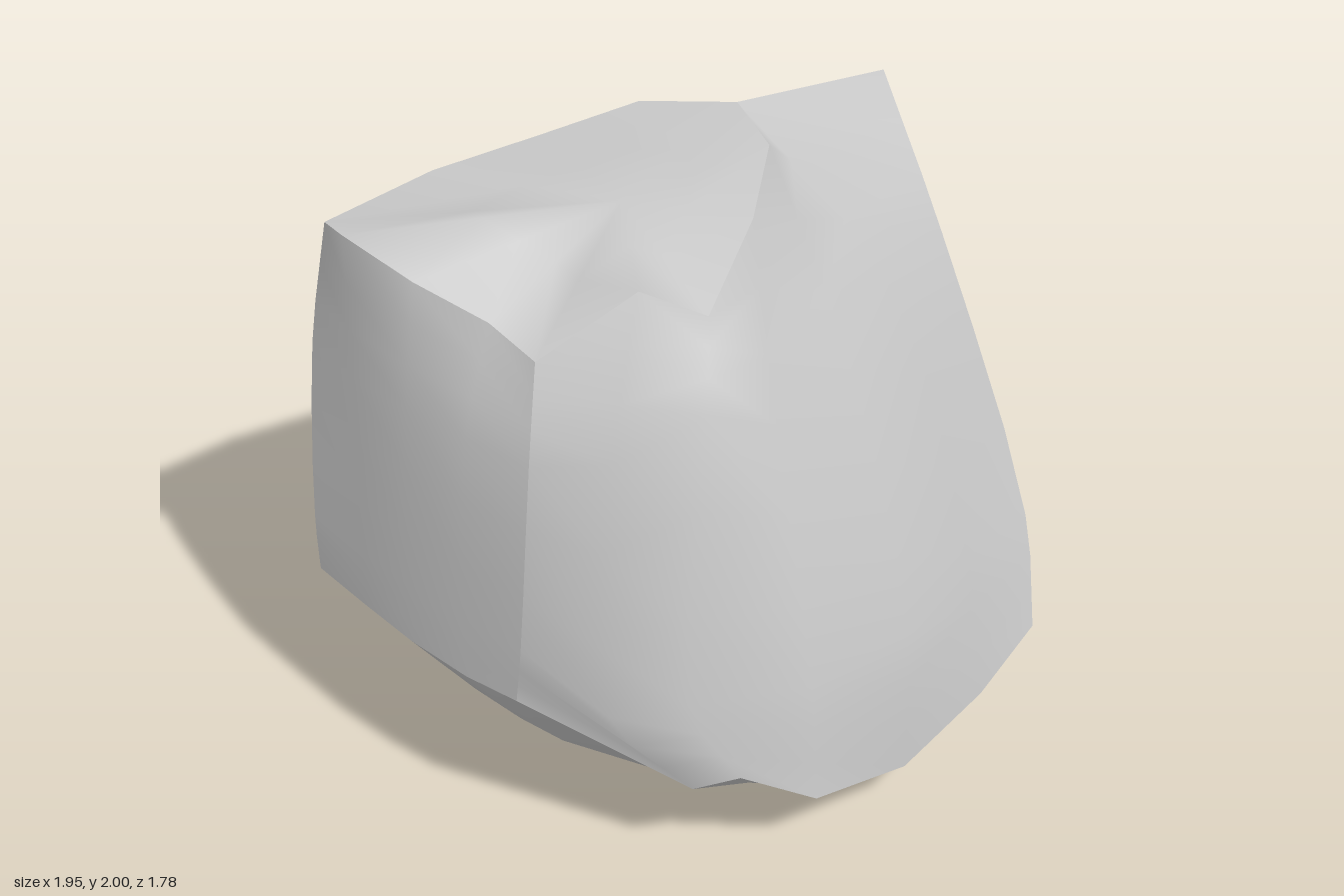
import * as THREE from 'three';
import { mergeVertices } from 'three/addons/utils/BufferGeometryUtils.js';

const material = new THREE.MeshStandardMaterial({ color: 0xcccccc, side: THREE.DoubleSide });
const row = (...points) => points.map((p) => new THREE.Vector3(...p));

// Smooth sheet over rows of points (top to bottom, left to right seen from outside).
function sheet(name, rows) {
  const n = rows[0].length;
  const positions = rows.flat().flatMap((p) => p.toArray());
  const index = [];
  for (let i = 0; i < rows.length - 1; i++) {
    for (let j = 0; j < n - 1; j++) {
      const a = i * n + j, b = a + n;
      index.push(a, b, b + 1, a, b + 1, a + 1);
    }
  }
  let geometry = new THREE.BufferGeometry();
  geometry.setAttribute('position', new THREE.Float32BufferAttribute(positions, 3));
  geometry.setIndex(index);
  geometry = mergeVertices(geometry, 1e-4);
  geometry.computeVertexNormals();
  const mesh = new THREE.Mesh(geometry, material);
  mesh.name = name;
  return mesh;
}

// Side of the rock: each column is a spline through four points, top to bottom.
function side(name, { top, upper, lower, bottom }, steps = 9) {
  const curves = top.map((p, j) => new THREE.CatmullRomCurve3([p, upper[j], lower[j], bottom[j]]));
  const rows = [];
  for (let i = 0; i <= steps; i++) rows.push(curves.map((c) => c.getPoint(i / steps)));
  return sheet(name, rows);
}

export function createModel() {
  const rock = new THREE.Group();
  rock.name = 'rock';

  // Broad front, leaning back to the ridge
  const front = {
    top: row([-0.81, 1.68, 0.21], [-0.58, 1.87, 0.37], [-0.48, 1.82, 0.53], [-0.2, 1.95, 0.42],
      [0.05, 2, 0.24], [0.17, 1.99, 0], [0.79, 1.85, 0]),
    upper: row([-0.89, 1.4, 0.26], [-0.77, 1.45, 0.46], [-0.58, 1.6, 0.63], [-0.33, 1.45, 0.64],
      [0.02, 1.45, 0.59], [0.37, 1.48, 0.42], [0.785, 1.4, 0.26]),
    lower: row([-0.945, 0.8, 0.26], [-0.84, 0.64, 0.5], [-0.7, 0.7, 0.68], [-0.38, 0.68, 0.84],
      [0, 0.66, 0.86], [0.4, 0.66, 0.74], [0.77, 0.57, 0.66]),
    bottom: row([-0.95, 0.61, 0.24], [-0.68, 0.38, 0.67], [-0.6, 0.44, 0.78], [-0.38, 0.28, 0.87],
      [-0.02, 0.19, 0.89], [0.38, 0.2, 0.84], [0.69, 0.25, 0.78]),
  };
  // Triangular flank on +x, bulging low down
  const flank = {
    top: Array(6).fill(front.top[6]),
    upper: row([0.785, 1.4, 0.26], [0.81, 1.3, 0.17], [0.82, 1.22, 0.06], [0.83, 1.2, -0.08],
      [0.82, 1.25, -0.2], [0.79, 1.4, -0.24]),
    lower: row([0.77, 0.57, 0.66], [0.85, 0.55, 0.38], [0.92, 0.52, 0.1], [0.97, 0.5, -0.18],
      [0.95, 0.52, -0.5], [0.835, 0.6, -0.69]),
    bottom: row([0.69, 0.25, 0.78], [0.82, 0.13, 0.25], [0.83, 0.125, 0], [0.86, 0.08, -0.45],
      [0.86, 0.07, -0.64], [0.82, 0.14, -0.89]),
  };
  // Twisted back, fullest towards -x
  const back = {
    top: row([0.79, 1.85, 0], [0.17, 1.99, 0], [0.03, 1.95, -0.25], [-0.22, 1.88, -0.4],
      [-0.52, 1.84, -0.52], [-0.68, 1.61, -0.69]),
    upper: row([0.79, 1.4, -0.24], [0.37, 1.5, -0.38], [0.04, 1.45, -0.55], [-0.22, 1.45, -0.64],
      [-0.5, 1.45, -0.69], [-0.73, 1.3, -0.74]),
    lower: row([0.835, 0.6, -0.69], [0.4, 0.65, -0.73], [-0.02, 0.75, -0.77], [-0.3, 0.8, -0.78],
      [-0.52, 0.8, -0.785], [-0.775, 0.7, -0.79]),
    bottom: row([0.82, 0.14, -0.89], [0.4, 0.14, -0.88], [-0.08, 0.17, -0.86], [-0.32, 0.21, -0.82],
      [-0.52, 0.25, -0.78], [-0.77, 0.39, -0.79]),
  };
  // Flank on -x
  const farFlank = {
    top: row([-0.85, 1.78, -0.6], [-0.94, 1.86, -0.41], [-0.9, 1.8, -0.17], [-0.81, 1.72, 0.03],
      [-0.81, 1.68, 0.21]),
    upper: row([-0.91, 1.4, -0.62], [-0.95, 1.4, -0.4], [-0.94, 1.4, -0.18], [-0.92, 1.4, 0.04],
      [-0.89, 1.4, 0.26]),
    lower: row([-0.945, 0.8, -0.63], [-0.96, 0.8, -0.4], [-0.97, 0.8, -0.18], [-0.965, 0.8, 0.04],
      [-0.945, 0.8, 0.26]),
    bottom: row([-0.94, 0.6, -0.63], [-0.96, 0.6, -0.4], [-0.975, 0.6, -0.18], [-0.97, 0.6, 0.05],
      [-0.95, 0.61, 0.24]),
  };
  // Narrow chamfer joining back and far flank
  const chamfer = {};
  for (const level of Object.keys(back)) chamfer[level] = [back[level][5], farFlank[level][0]];

  rock.add(side('frontFace', front), side('triangularFlank', flank), side('backFace', back),
    side('cornerChamfer', chamfer), side('farFlank', farFlank));

  // Small facet above the chamfer
  rock.add(sheet('cornerFacet', [[back.top[4], farFlank.top[0]], [back.top[4], back.top[5]]]));

  // Crown, fanned in rings around its centre
  const crownRim = [...front.top.slice(0, 6), ...back.top.slice(2, 5), ...farFlank.top];
  const crownCentre = new THREE.Vector3(-0.36, 1.93, 0.08);
  rock.add(sheet('crown', [0, 0.5, 1].map((t) => crownRim.map((p) => crownCentre.clone().lerp(p, t)))));

  // Shallow underside: the higher the rim, the steeper it turns under
  const baseRim = [front, flank, back, chamfer, farFlank]
    .flatMap((face, i) => face.bottom.slice(i ? 1 : 0));
  const baseCentre = new THREE.Vector3(0.3, 0, 0.12);
  rock.add(sheet('underside', [1, 0.85, 0.6, 0.3, 0].map((s) => baseRim.map((p) => {
    const q = baseCentre.clone().lerp(p, s);
    q.y = p.y * s ** (0.9 + 4.5 * p.y);
    return q;
  }))));

  return rock;
}
